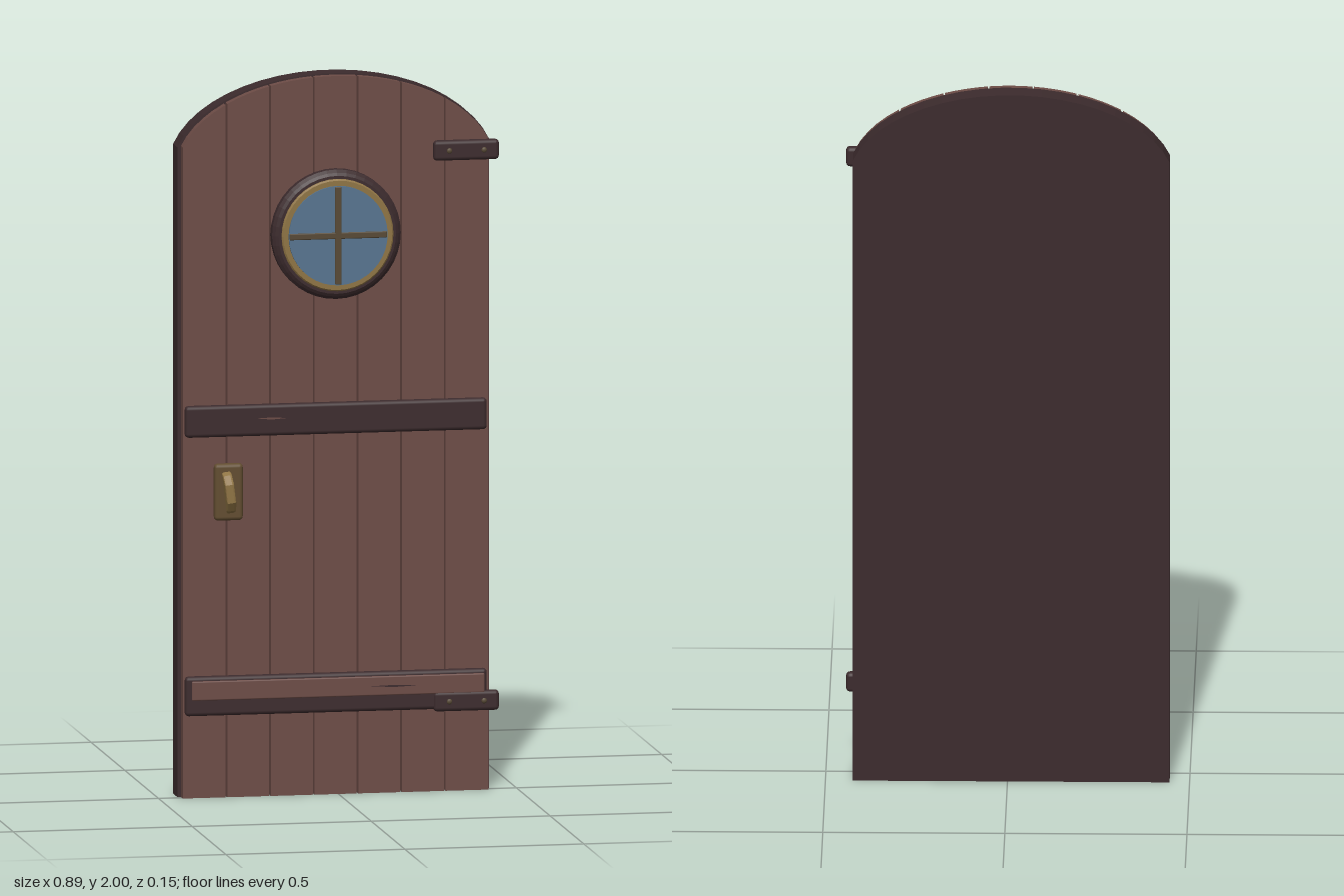
import * as THREE from 'three';
import { RoundedBoxGeometry } from 'three/addons/geometries/RoundedBoxGeometry.js';

const CX = -0.01; // centre line of the door leaf
const SPRING = 1.74; // centre height of the arch ellipse

const mat = (name, color) => {
  const m = new THREE.MeshStandardMaterial({ color });
  m.name = name;
  return m;
};

export function createModel() {
  const plank = mat('plank brown', 0x6d4c46);
  const dark = mat('dark wood', 0x3c2b2d);
  const brass = mat('brass', 0x8f7444);
  const oldBrass = mat('aged brass', 0x624d30);
  const glass = mat('window blue', 0x577590);
  const bar = mat('glazing bar brown', 0x574935);

  const door = new THREE.Group();
  door.name = 'door';

  const add = (name, geometry, material, x = 0, y = 0, z = 0) => {
    const mesh = new THREE.Mesh(geometry, material);
    mesh.name = name;
    mesh.position.set(x, y, z);
    door.add(mesh);
    return mesh;
  };

  // Rounded box given by its limits
  const block = (name, material, x0, x1, y0, y1, z0, z1, r = 0.011) =>
    add(name, new RoundedBoxGeometry(x1 - x0, y1 - y0, z1 - z0, 2, r), material,
      (x0 + x1) / 2, (y0 + y1) / 2, (z0 + z1) / 2);

  // Upright slice with an arched top, from x0 to x1 about the centre line
  const archSlice = (x0, x1, a, b, depth) => {
    const t0 = Math.acos(x1 / a);
    const t1 = Math.acos(x0 / a);
    const steps = Math.max(4, Math.ceil((t1 - t0) / 0.13));
    const s = new THREE.Shape();
    s.moveTo(x0, 0);
    s.lineTo(x1, 0);
    for (let i = 0; i <= steps; i++) {
      const t = t0 + (t1 - t0) * i / steps;
      s.lineTo(a * Math.cos(t), SPRING + b * Math.sin(t));
    }
    s.closePath();
    return new THREE.ExtrudeGeometry(s, { depth, bevelEnabled: false });
  };

  // Backing slab
  add('backSlab', archSlice(-0.435, 0.435, 0.45, 0.26, 0.063), dark, CX, 0, -0.075);

  // Seven front planks with narrow open joints
  const count = 7, half = 0.427, pitch = 2 * half / count, gap = 0.0025;
  for (let i = 0; i < count; i++) {
    const x0 = -half + i * pitch + (i ? gap : 0);
    const x1 = -half + (i + 1) * pitch - (i < count - 1 ? gap : 0);
    add('plank', archSlice(x0, x1, 0.444, 0.256, 0.027), plank, CX + 0.002, 0, -0.012);
  }

  // Cross rails
  block('middleRail', dark, -0.431, 0.412, 1.004, 1.092, 0.01, 0.037);
  block('lowerRail', dark, -0.431, 0.412, 0.23, 0.34, 0.01, 0.037);
  block('lowerRailPanel', plank, -0.414, 0.404, 0.274, 0.328, 0.026, 0.041, 0.004);

  // Fine splits in the rails
  const split = (x, y, w, z, material) => {
    const s = new THREE.Shape([[-w / 2, 0.001], [0, -0.003], [w / 2, 0], [0, 0.003]]
      .map(([px, py]) => new THREE.Vector2(px, py)));
    add('woodSplit', new THREE.ShapeGeometry(s), material, x, y, z);
  };
  split(-0.19, 1.053, 0.09, 0.038, plank);
  split(0.15, 0.3, 0.13, 0.042, dark);

  // Hinge straps with rivets
  for (const y of [1.783, 0.252]) {
    block('hingeStrap', dark, 0.262, 0.445, y - 0.028, y + 0.028, 0.015, 0.043);
    for (const x of [0.305, 0.402]) {
      const rivet = add('hingeRivet', new THREE.SphereGeometry(0.008, 12, 8), bar, x, y, 0.042);
      rivet.scale.z = 0.6;
    }
  }

  // Round window, lathed about the z axis
  const WY = 1.56;
  const ring = (name, material, profile) => {
    const g = new THREE.LatheGeometry(profile.map(([r, z]) => new THREE.Vector2(r, z)), 40).toNonIndexed();
    g.rotateX(Math.PI / 2);
    g.computeVertexNormals();
    add(name, g, material, CX, WY, 0);
  };
  ring('windowFrame', dark, [[0.18, 0.01], [0.18, 0.038], [0.172, 0.046], [0.164, 0.051], [0.15, 0.051]]);
  ring('windowTrim', brass, [[0.156, 0.04], [0.156, 0.056], [0.152, 0.06], [0.136, 0.06]]);
  const pane = new THREE.CylinderGeometry(0.138, 0.138, 0.05, 40);
  pane.rotateX(Math.PI / 2);
  add('windowPane', pane, glass, CX, WY, 0.041);
  block('glazingBarUpright', bar, CX - 0.009, CX + 0.009, WY - 0.136, WY + 0.136, 0.059, 0.069, 0.003);
  block('glazingBarCross', bar, CX - 0.136, CX + 0.136, WY - 0.009, WY + 0.009, 0.059, 0.0685, 0.003);

  // Handle plate and solid pull, leaning slightly
  block('handlePlate', oldBrass, -0.35, -0.27, 0.772, 0.93, 0.012, 0.04);
  const side = new THREE.Shape([[-0.035, -0.056], [-0.035, 0.056], [-0.052, 0.046], [-0.067, 0.024],
    [-0.067, -0.024], [-0.052, -0.046]].map(([z, y]) => new THREE.Vector2(z, y)));
  const pull = new THREE.ExtrudeGeometry(side, {
    depth: 0.014, bevelThickness: 0.006, bevelSize: 0.005, bevelSegments: 2,
  });
  pull.translate(0, 0, -0.007);
  pull.rotateY(Math.PI / 2);
  pull.rotateZ(0.12);
  add('handlePull', pull, brass, -0.311, 0.851, 0);

  return door;
}
